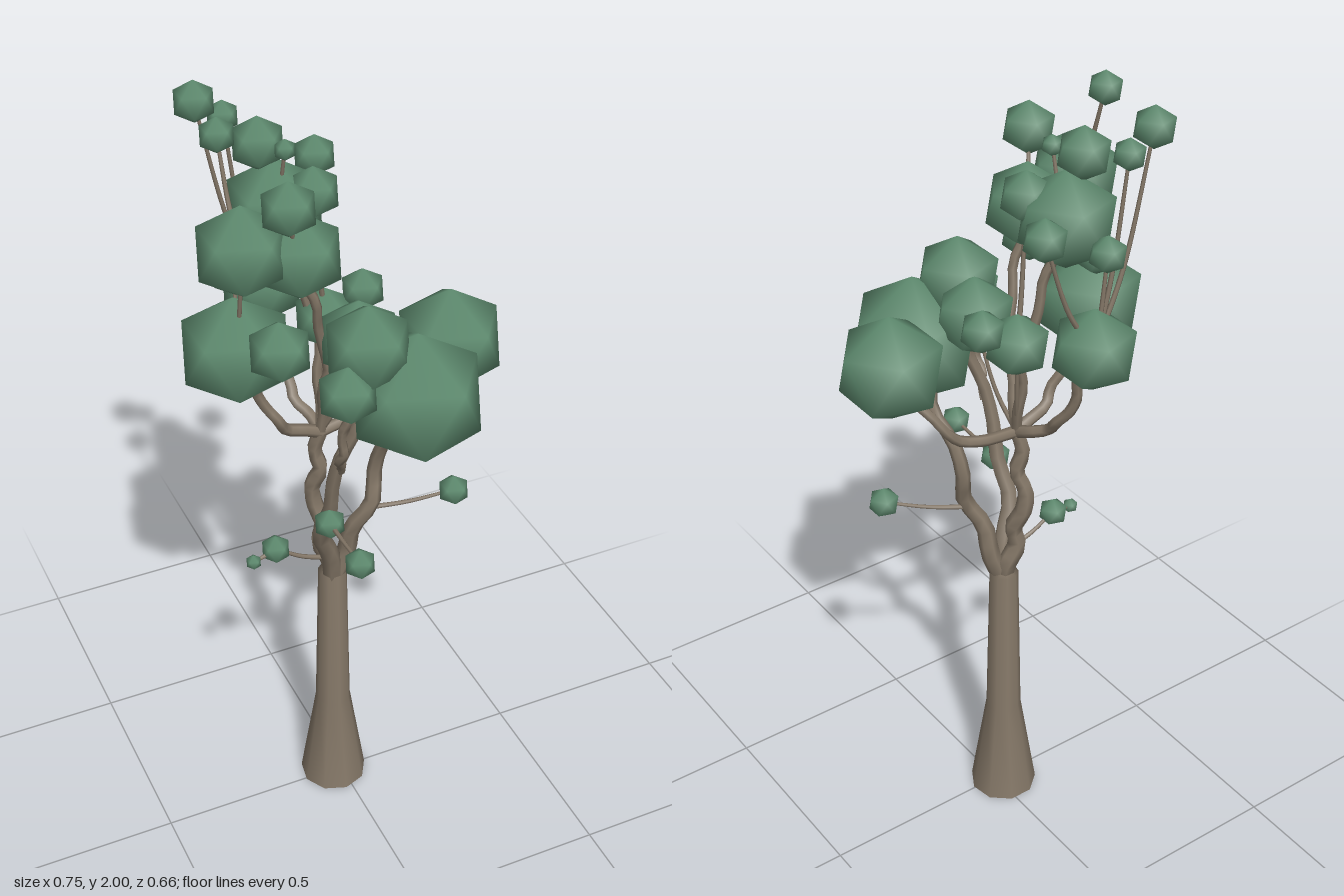
import * as THREE from 'three';
import { mergeVertices } from 'three/addons/utils/BufferGeometryUtils.js';

const bark = new THREE.MeshStandardMaterial({ color: 0x857868, side: THREE.DoubleSide });
const leaf = new THREE.MeshStandardMaterial({ color: 0x5f8c70 });
const at = (x, y, z) => new THREE.Vector3(x, y, z);

// Tapered branch through a few points, with a slight alternating crook
function branch(name, points, r0, r1, crook = 0) {
  const knots = new THREE.CatmullRomCurve3(points).getSpacedPoints(8);
  knots.forEach((p, i) => {
    if (i % 8 === 0) return;
    p.x += crook * Math.sin(i * 2.4);
    p.z += crook * Math.cos(i * 2.1);
  });
  const curve = new THREE.CatmullRomCurve3(knots);
  const steps = 18, sides = 6;
  const geo = new THREE.TubeGeometry(curve, steps, r0, sides);
  const pos = geo.attributes.position;
  const v = at(0, 0, 0);
  for (let i = 0; i < pos.count; i++) {
    const t = Math.floor(i / (sides + 1)) / steps;
    const centre = curve.getPointAt(t);
    v.fromBufferAttribute(pos, i).lerp(centre, t * (1 - r1 / r0));
    pos.setXYZ(i, v.x, v.y, v.z);
  }
  const mesh = new THREE.Mesh(geo, bark);
  mesh.name = name;
  return mesh;
}

// Smooth-shaded icosahedron standing on a corner
function leafGeometry() {
  const solid = new THREE.IcosahedronGeometry(1, 0);
  solid.deleteAttribute('normal');
  solid.deleteAttribute('uv');
  const geo = mergeVertices(solid);
  geo.rotateX(-Math.atan((1 + Math.sqrt(5)) / 2));
  geo.rotateY(Math.PI / 2);
  geo.computeVertexNormals();
  return geo;
}

export function createModel() {
  const tree = new THREE.Group();
  tree.name = 'tree';
  const ballGeometry = leafGeometry();

  function cluster(centre, radius) {
    const ball = new THREE.Mesh(ballGeometry, leaf);
    ball.name = 'leafCluster';
    ball.position.copy(centre);
    ball.scale.setScalar(radius);
    tree.add(ball);
    return centre;
  }

  // Limb ending in a leaf cluster
  function limb(name, points, thickness, radius) {
    tree.add(branch(name, points, thickness, 0.011, thickness * 0.4));
    return cluster(points[points.length - 1], radius);
  }

  // Thin twig that leans out first, then rises into its own small cluster
  function twig(from, to, radius) {
    const bend = from.clone().lerp(to, 0.5);
    bend.y -= 0.15 * Math.abs(to.y - from.y);
    tree.add(branch('twig', [from, bend, to], 0.007, 0.004));
    return cluster(to, radius);
  }

  // Trunk with flared foot, open underneath
  const profile = [[0.088, 0], [0.046, 0.28], [0.037, 0.715], [0, 0.725]];
  const trunk = new THREE.Mesh(
    new THREE.LatheGeometry(profile.map(([r, y]) => new THREE.Vector2(r, y)), 9), bark);
  trunk.name = 'trunk';
  trunk.position.set(-0.018, 0, -0.011);
  tree.add(trunk);

  // Three limbs rise from the trunk top; the back one ends in a fork
  const root = at(-0.02, 0.69, -0.005);
  const leftElbow = at(0.05, 0.92, 0.03);
  const frontElbow = at(-0.075, 0.97, 0.07);
  const frontFork = at(-0.06, 1.14, 0.13);
  const fork = at(-0.04, 1.14, -0.03);
  limb('leftLimb', [root, leftElbow, at(0.09, 1.08, 0.04), at(0.104, 1.34, 0.188)], 0.026, 0.168);
  limb('frontLimb', [root, frontElbow, frontFork, at(-0.006, 1.485, 0.16)], 0.026, 0.107);
  tree.add(branch('backLimb', [root, at(-0.05, 0.94, -0.045), fork], 0.026, 0.018, 0.009));

  // Arms spreading from the forks
  limb('leftArm', [fork, at(0.13, 1.18, -0.03), at(0.253, 1.377, 0.056)], 0.015, 0.135);
  limb('frontArm', [frontFork, at(-0.08, 1.22, 0.18), at(-0.078, 1.41, 0.21)], 0.012, 0.073);
  const rightCrown = limb('rightArm', [fork, at(-0.14, 1.19, -0.02), at(-0.25, 1.435, -0.025)], 0.016, 0.138);
  const backCrown = limb('backArm', [fork, at(-0.07, 1.21, -0.15), at(-0.097, 1.45, -0.243)], 0.016, 0.105);
  const midCrown = limb('middleArm', [fork, at(-0.05, 1.4, 0.02), at(-0.122, 1.685, 0.045)], 0.014, 0.107);
  const topCrown = limb('upperArm', [fork, at(-0.03, 1.4, -0.08), at(-0.107, 1.72, -0.12)], 0.014, 0.121);

  // Inner clusters
  const inner = twig(fork, at(0, 1.42, -0.085), 0.08);
  twig(fork, at(0.02, 1.44, 0.055), 0.1);
  twig(inner, at(0.09, 1.48, -0.075), 0.055);
  twig(inner, at(-0.04, 1.77, -0.06), 0.064);

  // Clusters above the right crown
  const highCrown = twig(rightCrown, at(-0.252, 1.725, 0.042), 0.112);
  twig(highCrown, at(-0.265, 1.962, -0.045), 0.042);
  twig(rightCrown, at(-0.22, 1.535, 0.165), 0.075);
  twig(rightCrown, at(-0.22, 1.59, -0.09), 0.055);

  // Clusters above the middle and upper crowns
  twig(midCrown, at(-0.168, 1.84, 0.105), 0.066);
  twig(topCrown, at(-0.138, 1.875, -0.135), 0.065);
  twig(topCrown, at(-0.1, 1.88, -0.072), 0.026);

  // Tall twigs above the back crown
  twig(backCrown, at(-0.242, 1.947, -0.242), 0.051);
  twig(backCrown, at(-0.178, 1.9, -0.24), 0.039);
  twig(backCrown, at(-0.126, 1.68, -0.243), 0.046);
  twig(backCrown, at(0.04, 1.76, -0.235), 0.053);

  // Low side shoots
  twig(leftElbow, at(0.252, 0.97, 0.112), 0.04);
  const frontShoot = twig(frontElbow, at(-0.08, 0.975, 0.112), 0.04);
  twig(frontShoot, at(-0.083, 0.987, 0.29), 0.039);
  const rightShoot = twig(at(-0.04, 0.77, 0), at(-0.172, 0.835, -0.01), 0.038);
  twig(rightShoot, at(-0.235, 0.822, 0), 0.02);

  return tree;
}
